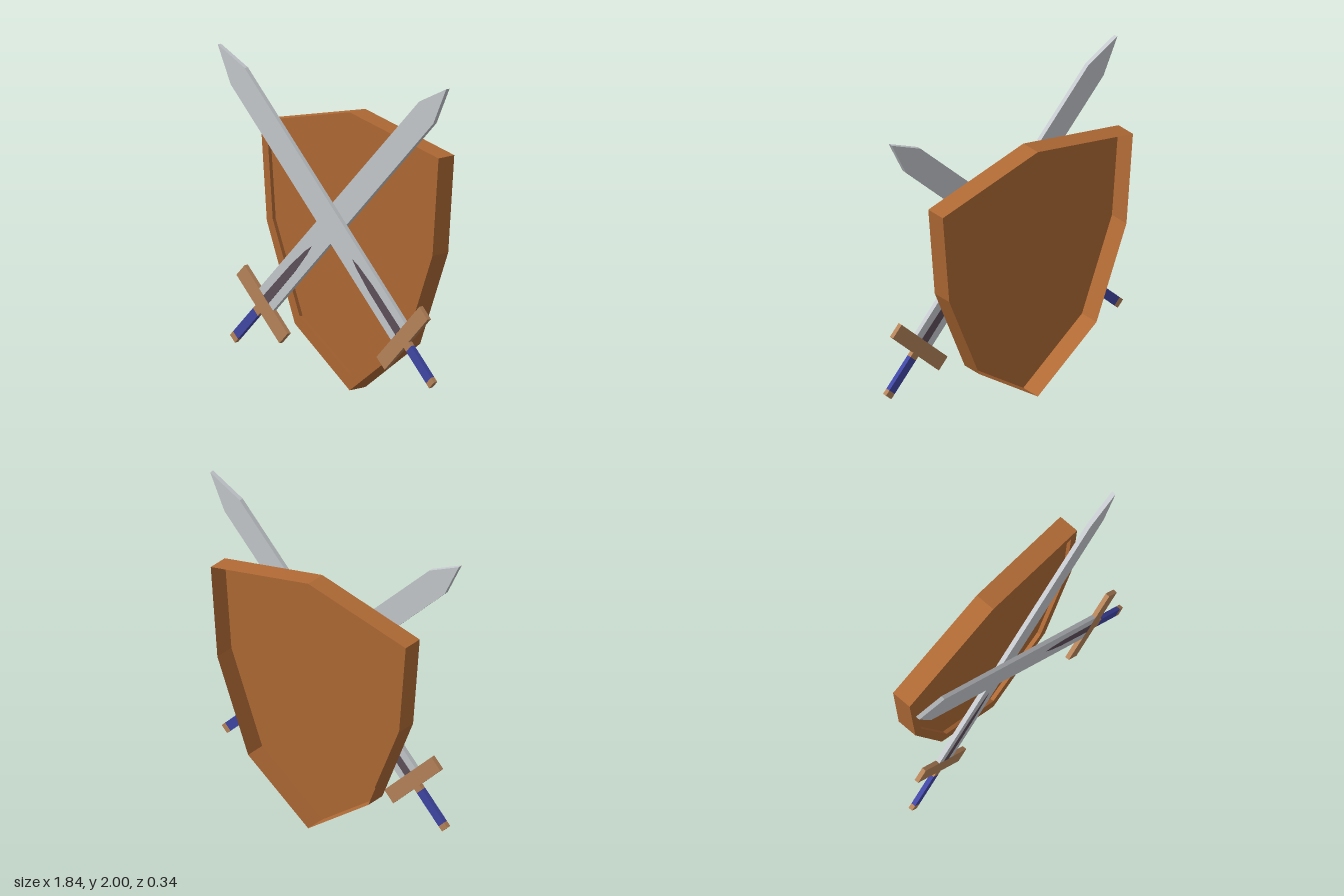
import * as THREE from 'three';

const mat = (name, color, side = THREE.FrontSide) => {
  const m = new THREE.MeshStandardMaterial({ color, side });
  m.name = name;
  return m;
};

function add(parent, name, geometry, material) {
  const mesh = new THREE.Mesh(geometry, material);
  mesh.name = name;
  parent.add(mesh);
  return mesh;
}

const shapeOf = (pts) => new THREE.Shape(pts.map(([x, y]) => new THREE.Vector2(x, y)));

// Flat prism centred on z = 0
function plate(pts, depth) {
  return new THREE.ExtrudeGeometry(shapeOf(pts), { depth, bevelEnabled: false }).translate(0, 0, -depth / 2);
}

// Faceted ring of faces through successive loops { pts, z }
function loft(loops) {
  const v = [];
  for (let k = 0; k < loops.length - 1; k++) {
    const A = loops[k], B = loops[k + 1], n = A.pts.length;
    for (let i = 0; i < n; i++) {
      const j = (i + 1) % n;
      const a0 = [...A.pts[i], A.z], a1 = [...A.pts[j], A.z];
      const b0 = [...B.pts[i], B.z], b1 = [...B.pts[j], B.z];
      v.push(...a0, ...b0, ...a1, ...a1, ...b0, ...b1);
    }
  }
  const g = new THREE.BufferGeometry();
  g.setAttribute('position', new THREE.Float32BufferAttribute(v, 3));
  g.computeVertexNormals();
  return g;
}

// Symmetric clockwise outline from its right half (first and last points on the axis)
const SHIELD_X = -0.023;
function outline(half) {
  const left = half.slice(1, -1).reverse().map(([x, y]) => [-x, y]);
  return [...half, ...left].map(([x, y]) => [x + SHIELD_X, y]);
}

function createShield(wood) {
  const shield = new THREE.Group();
  shield.name = 'shield';
  const outer = outline([[0, 1.695], [0.746, 1.53], [0.695, 0.93], [0.46, 0.34], [0, 0.005]]);
  const inner = outline([[0, 1.64], [0.692, 1.487], [0.645, 0.945], [0.42, 0.39], [0, 0.1]]);
  const back = -0.172, front = -0.04, recess = -0.065;
  // Hollow shell: side wall, front rim and the step down to the panel
  add(shield, 'shieldRim', loft([
    { pts: outer, z: back }, { pts: outer, z: front }, { pts: inner, z: front }, { pts: inner, z: recess },
  ]), wood);
  add(shield, 'shieldPanel', new THREE.ShapeGeometry(shapeOf(inner)).translate(0, 0, recess), wood);
  return shield;
}

// Sword along local y, with y = 0 just above the guard
function createSword(name, m) {
  const sword = new THREE.Group();
  sword.name = name;
  const T = 0.028;
  const bar = (part, width, y0, y1, material) =>
    add(sword, part, new THREE.BoxGeometry(width, y1 - y0, T).translate(0, (y0 + y1) / 2, 0), material);
  add(sword, 'blade', plate([[-0.083, -0.073], [0.083, -0.073], [0.083, 1.828], [0, 2.065], [-0.083, 1.828]], T), m.steel);
  // Dark groove, showing on both faces of the blade
  const groove = [[-0.03, -0.073], [0.03, -0.073], [0.026, 0.25], [0.012, 0.41], [0, 0.466], [-0.012, 0.41], [-0.026, 0.25]];
  for (const s of [-1, 1]) add(sword, 'bladeGroove', plate(groove, 0.003).translate(0, 0, s * T / 2), m.groove);
  bar('guard', 0.51, -0.17, -0.073, m.brass);
  bar('neck', 0.058, -0.2, -0.17, m.brass);
  bar('grip', 0.058, -0.435, -0.2, m.grip);
  bar('pommel', 0.058, -0.472, -0.435, m.brass);
  return sword;
}

export function createModel() {
  const m = {
    wood: mat('shield wood', 0xb06a35, THREE.DoubleSide),
    steel: mat('steel', 0xc6cace),
    groove: mat('groove dark', 0x5e505a),
    brass: mat('guard tan', 0xb7845a),
    grip: mat('grip blue', 0x4147a6),
  };
  const model = new THREE.Group();
  model.name = 'shieldWithCrossedSwords';
  model.add(createShield(m.wood));

  // Crossed swords in front of the shield
  for (const [name, side, z] of [['frontSword', 1, 0.157], ['rearSword', -1, 0.078]]) {
    const sword = createSword(name, m);
    sword.position.set(side * 0.541, 0.541, z);
    sword.rotation.z = side * Math.PI / 4;
    model.add(sword);
  }
  return model;
}
